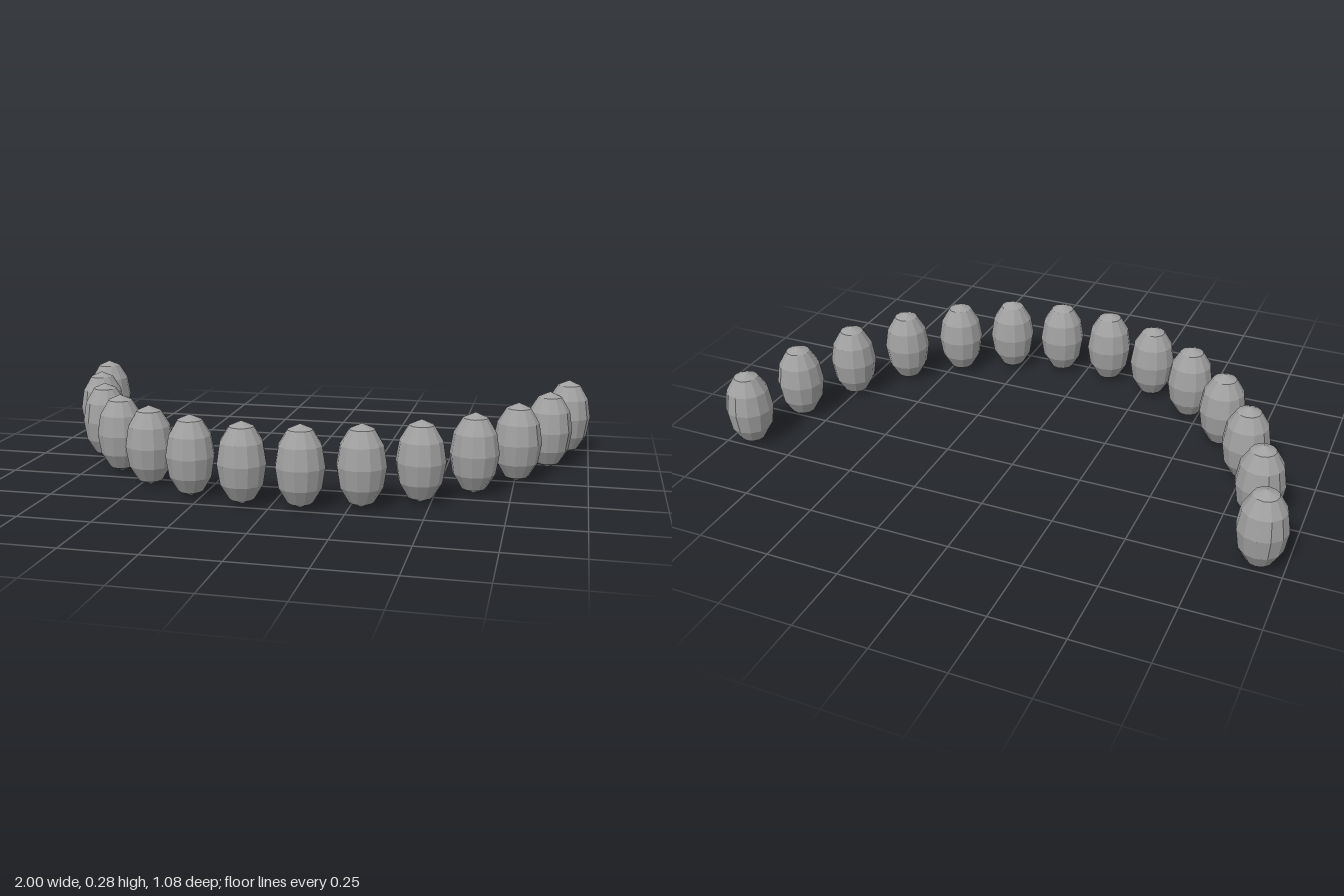
import * as THREE from 'three';

export function createModel() {
  const model = new THREE.Group();
  model.name = 'beadArc';
  const grey = new THREE.MeshStandardMaterial({ color: 0xa0a0a0, flatShading: true });
  grey.name = 'grey';

  // One faceted, upright oval bead, shared by the whole arc
  const radius = 0.083, halfHeight = 0.139;
  const beadGeometry = new THREE.SphereGeometry(1, 12, 6).scale(radius, halfHeight, radius);

  // Bead centres [x, z] on one side, from the front middle to the back end
  const centres = [
    [0.097, 0.458], [0.287, 0.408], [0.464, 0.31], [0.624, 0.167],
    [0.755, -0.015], [0.854, -0.226], [0.917, -0.458],
  ];

  // Mirror each bead to both sides
  for (const [side, sign] of [['left', 1], ['right', -1]]) {
    centres.forEach(([x, z], i) => {
      const bead = new THREE.Mesh(beadGeometry, grey);
      bead.name = `${side}Bead${i + 1}`;
      bead.position.set(sign * x, halfHeight, z);
      model.add(bead);
    });
  }
  return model;
}
